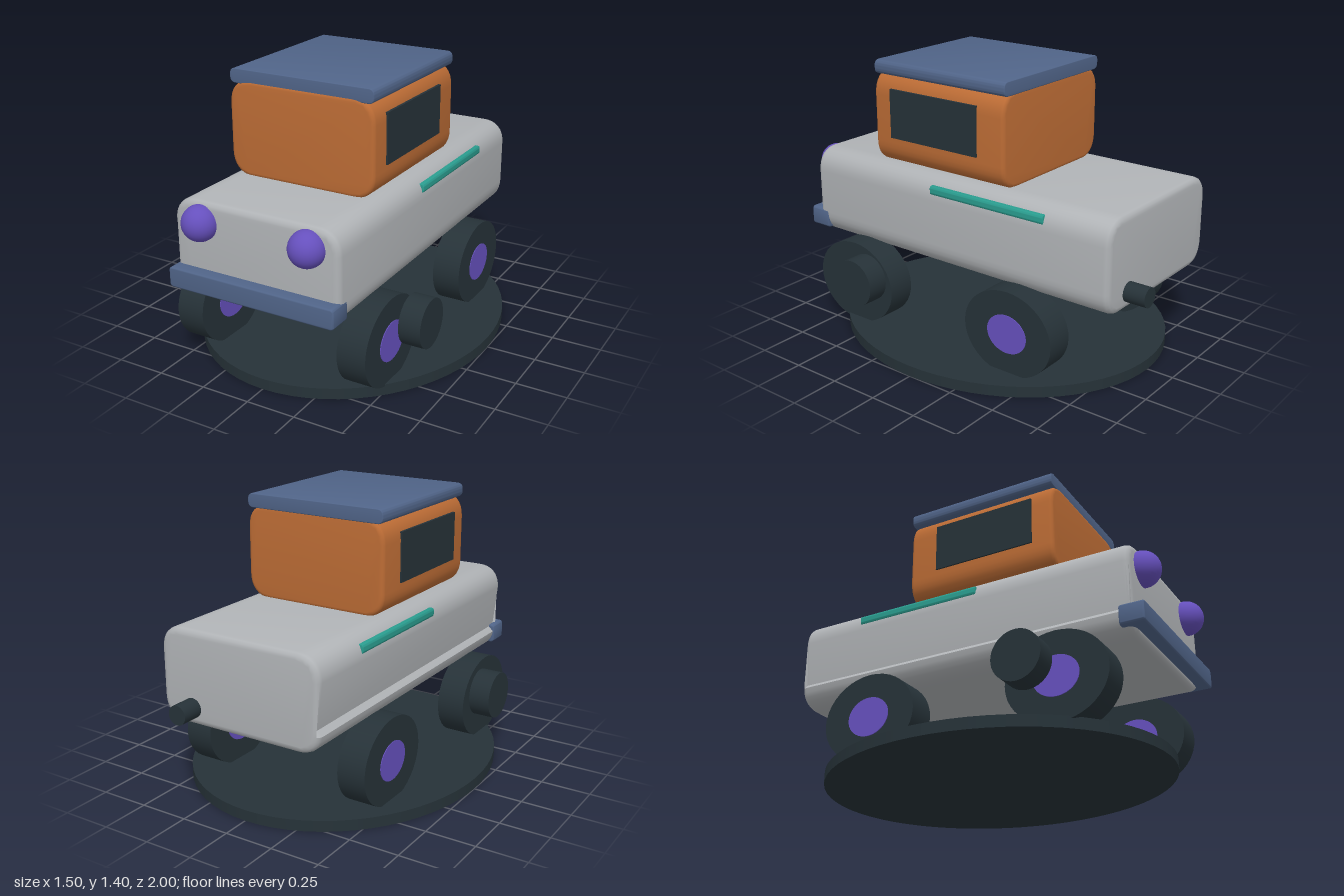
import * as THREE from 'three';
import { toCreasedNormals } from 'three/addons/utils/BufferGeometryUtils.js';

const paint = (name, color) => {
  const m = new THREE.MeshStandardMaterial({ color });
  m.name = name;
  return m;
};

// Rounded rectangle in x/y, extruded along z with bevelled ends; w, h, d are outer sizes
function roundedBlock(w, h, d, r, bevel) {
  const x = w / 2 - bevel, y = h / 2 - bevel, q = r - bevel;
  const s = new THREE.Shape();
  s.moveTo(-x, -y + q);
  s.lineTo(-x, y - q);
  s.quadraticCurveTo(-x, y, -x + q, y);
  s.lineTo(x - q, y);
  s.quadraticCurveTo(x, y, x, y - q);
  s.lineTo(x, -y + q);
  s.quadraticCurveTo(x, -y, x - q, -y);
  s.lineTo(-x + q, -y);
  s.quadraticCurveTo(-x, -y, -x, -y + q);
  const outline = new THREE.Shape(s.getPoints(8).slice(0, -1));
  const geo = new THREE.ExtrudeGeometry(outline, {
    depth: d - 2 * bevel, bevelEnabled: bevel > 0,
    bevelThickness: bevel, bevelSize: bevel, bevelSegments: 3,
  });
  geo.translate(0, 0, -d / 2 + bevel);
  return geo;
}

export function createModel() {
  const model = new THREE.Group();
  const grey = paint('body grey', 0xb0b3b6);
  const orange = paint('cabin orange', 0xbc6c35);
  const blue = paint('trim blue', 0x506488);
  const dark = paint('rubber dark', 0x263238);
  const purple = paint('lamp purple', 0x6650bd);
  const teal = paint('stripe teal', 0x2a9d8f);

  const add = (name, geo, mat, x, y, z, parent = model) => {
    const mesh = new THREE.Mesh(geo, mat);
    mesh.name = name;
    mesh.position.set(x, y, z);
    parent.add(mesh);
    return mesh;
  };
  const smooth = (geo) => toCreasedNormals(geo, 0.6);

  // Oval base plate
  const base = new THREE.CylinderGeometry(0.75, 0.75, 0.055, 64);
  base.scale(1, 1, 0.87 / 0.75);
  add('basePlate', base, dark, 0, 0.0275, 0.008);

  // Body, with a shallow crease pressed in along the lower edge of one flank
  const bodyGeo = roundedBlock(0.87, 0.46, 1.795, 0.12, 0.03);
  const p = bodyGeo.attributes.position;
  for (let i = 0; i < p.count; i++) {
    if (p.getX(i) < -0.425 && Math.abs(p.getY(i) + 0.11) < 0.007) p.setX(i, -0.408);
  }
  add('body', smooth(bodyGeo), grey, 0, 0.66, 0.008);

  // Cabin and roof
  add('cabin', smooth(roundedBlock(0.77, 0.47, 0.8, 0.12, 0.02)), orange, 0, 1.115, 0.118);
  add('roof', smooth(roundedBlock(0.76, 0.07, 0.8, 0.03, 0.004)), blue, 0, 1.365, 0.115);

  // Front bumper and tail pipe
  add('bumper', smooth(roundedBlock(0.875, 0.1, 0.12, 0.02, 0.008)), blue, 0, 0.51, 0.905);
  const pipe = new THREE.CylinderGeometry(0.048, 0.048, 0.14, 24).rotateX(Math.PI / 2);
  add('tailPipe', pipe, dark, 0.26, 0.515, -0.93);

  // Wheel parts turn around the x axis; slightly squashed in height
  const disc = (r, width) => new THREE.CylinderGeometry(r, r, width, 40).rotateZ(Math.PI / 2);
  const tyreGeo = disc(0.249, 0.145).scale(1, 0.86, 1);
  const hubGeo = disc(0.112, 0.152).scale(1, 0.86, 1);
  const sideDrumGeo = disc(0.121, 0.11);
  const lampGeo = new THREE.SphereGeometry(0.086, 32, 20);
  const windowGeo = new THREE.BoxGeometry(0.02, 0.245, 0.535);
  const stripeGeo = smooth(roundedBlock(0.035, 0.045, 0.665, 0.014, 0.004));

  for (const side of [-1, 1]) {
    const label = side > 0 ? 'left' : 'right';
    for (const [end, z] of [['Front', 0.578], ['Rear', -0.4]]) {
      const wheel = new THREE.Group();
      wheel.name = label + end + 'Wheel';
      wheel.position.set(side * 0.442, 0.252, z);
      add('tyre', tyreGeo, dark, 0, 0, 0, wheel);
      add('hub', hubGeo, purple, 0, 0, 0, wheel);
      model.add(wheel);
    }
    add(label + 'SideDrum', sideDrumGeo, dark, side * 0.6, 0.321, 0.457);
    add(label + 'Headlight', lampGeo, purple, side * 0.282, 0.79, 0.914);
    add(label + 'Window', windowGeo, dark, side * 0.383, 1.148, 0.14);
    add(label + 'Stripe', stripeGeo, teal, side * 0.42, 0.824, -0.208);
  }
  return model;
}
